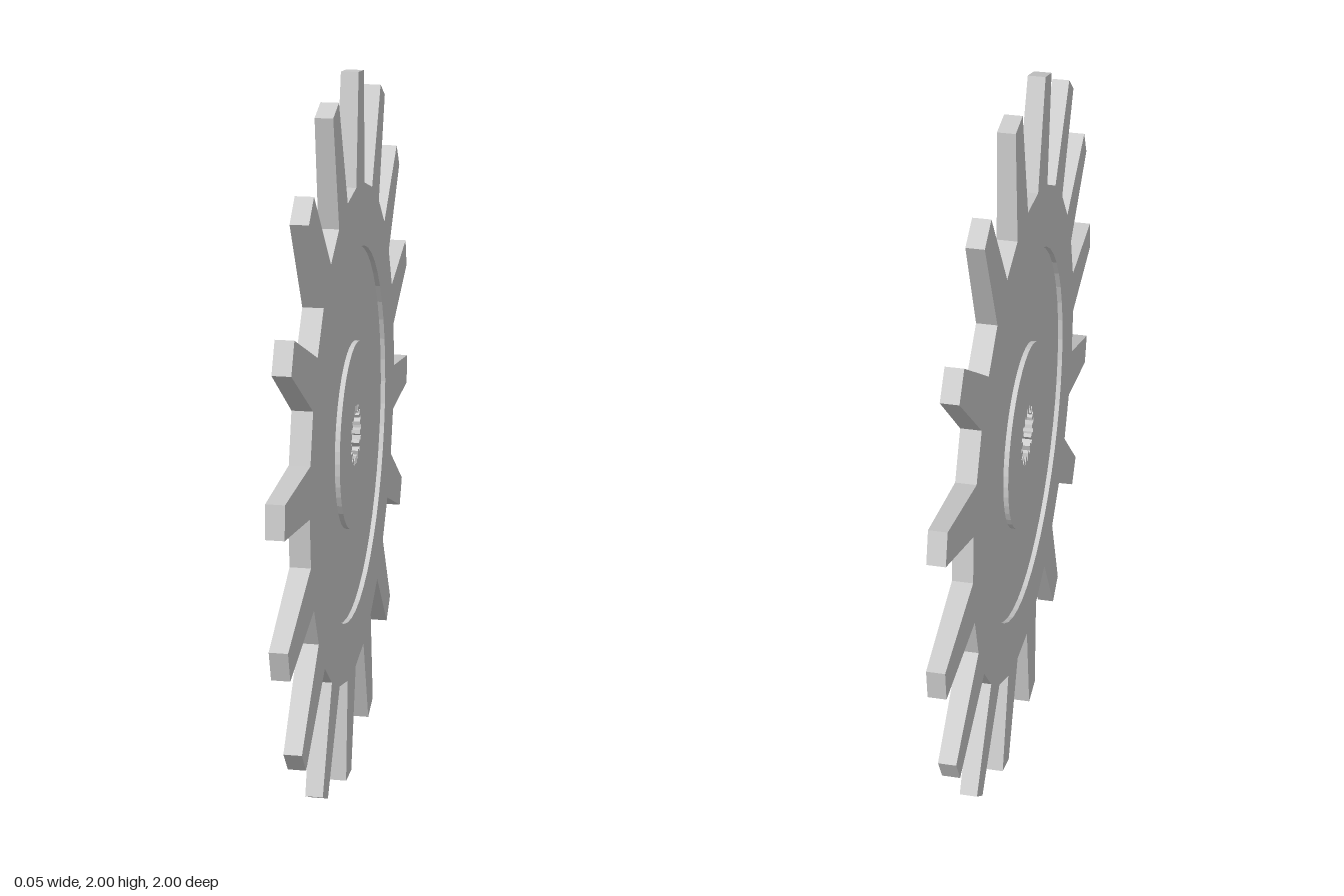
import * as THREE from 'three';

const TEETH = 16;
const STEP = (Math.PI * 2) / TEETH;
const ROOT = 0.697;       // root polygon radius
const RIM = 0.525;        // outer edge of the recess
const HUB = 0.262;        // hub radius
const THICK = 0.055;      // rim and hub thickness
const TIP_THICK = 0.048;  // tooth thickness at the tip
const WEB = 0.028;        // recessed web thickness

const polar = (r, a) => new THREE.Vector2(r * Math.cos(a), r * Math.sin(a));

function circlePath(r) {
  return new THREE.Path().absarc(0, 0, r, 0, Math.PI * 2, true);
}

export function createModel() {
  const group = new THREE.Group();
  const wheel = new THREE.Group();
  wheel.name = 'gearWheel';
  const mat = new THREE.MeshStandardMaterial({ color: 0xcccccc, flatShading: true });

  const add = (name, geometry, parent = wheel) => {
    const mesh = new THREE.Mesh(geometry, mat);
    mesh.name = name;
    parent.add(mesh);
    return mesh;
  };

  // Flat plate with one hole, centred on its thickness
  const plate = (shape, hole, depth) => {
    shape.holes.push(hole);
    const g = new THREE.ExtrudeGeometry(shape, { depth, bevelEnabled: false, curveSegments: 24 });
    return g.translate(0, 0, -depth / 2);
  };

  // Rim: polygon with two sides per tooth
  const rimPoints = [];
  for (let i = 0; i < TEETH * 2; i++) rimPoints.push(polar(ROOT, (i * STEP) / 2));
  add('rim', plate(new THREE.Shape(rimPoints), circlePath(RIM), THICK));

  // Thin web, recessed on both faces
  const webShape = new THREE.Shape().absarc(0, 0, RIM, 0, Math.PI * 2, false);
  add('web', plate(webShape, circlePath(HUB), WEB));

  // Hub with splined bore
  const bore = [];
  for (let i = 0; i < TEETH; i++) {
    const a = i * STEP;
    bore.push(polar(0.066, a - 0.115), polar(0.085, a - 0.07),
      polar(0.085, a + 0.07), polar(0.066, a + 0.115));
  }
  const hubShape = new THREE.Shape().absarc(0, 0, HUB, 0, Math.PI * 2, false);
  add('hub', plate(hubShape, new THREE.Path(bore.reverse()), THICK));

  // Tooth: box narrowing in width and thickness toward the tip
  const baseX = ROOT * Math.cos(STEP / 4), baseHalf = ROOT * Math.sin(STEP / 4);
  const tipX = 1.0005, tipHalf = 0.044;
  const tooth = new THREE.BoxGeometry(1, 2, 1);
  const p = tooth.attributes.position;
  for (let i = 0; i < p.count; i++) {
    const tip = p.getX(i) > 0;
    p.setXYZ(i, tip ? tipX : baseX,
      p.getY(i) * (tip ? tipHalf : baseHalf),
      p.getZ(i) * (tip ? TIP_THICK : THICK));
  }
  tooth.computeVertexNormals();

  const teeth = new THREE.Group();
  teeth.name = 'teeth';
  wheel.add(teeth);
  for (let i = 0; i < TEETH; i++) {
    add('tooth', tooth, teeth).rotation.z = i * STEP - STEP / 4;
  }

  // Stand the wheel upright with its axle along x
  wheel.rotation.y = Math.PI / 2;
  wheel.position.y = 1;
  group.add(wheel);
  return group;
}
